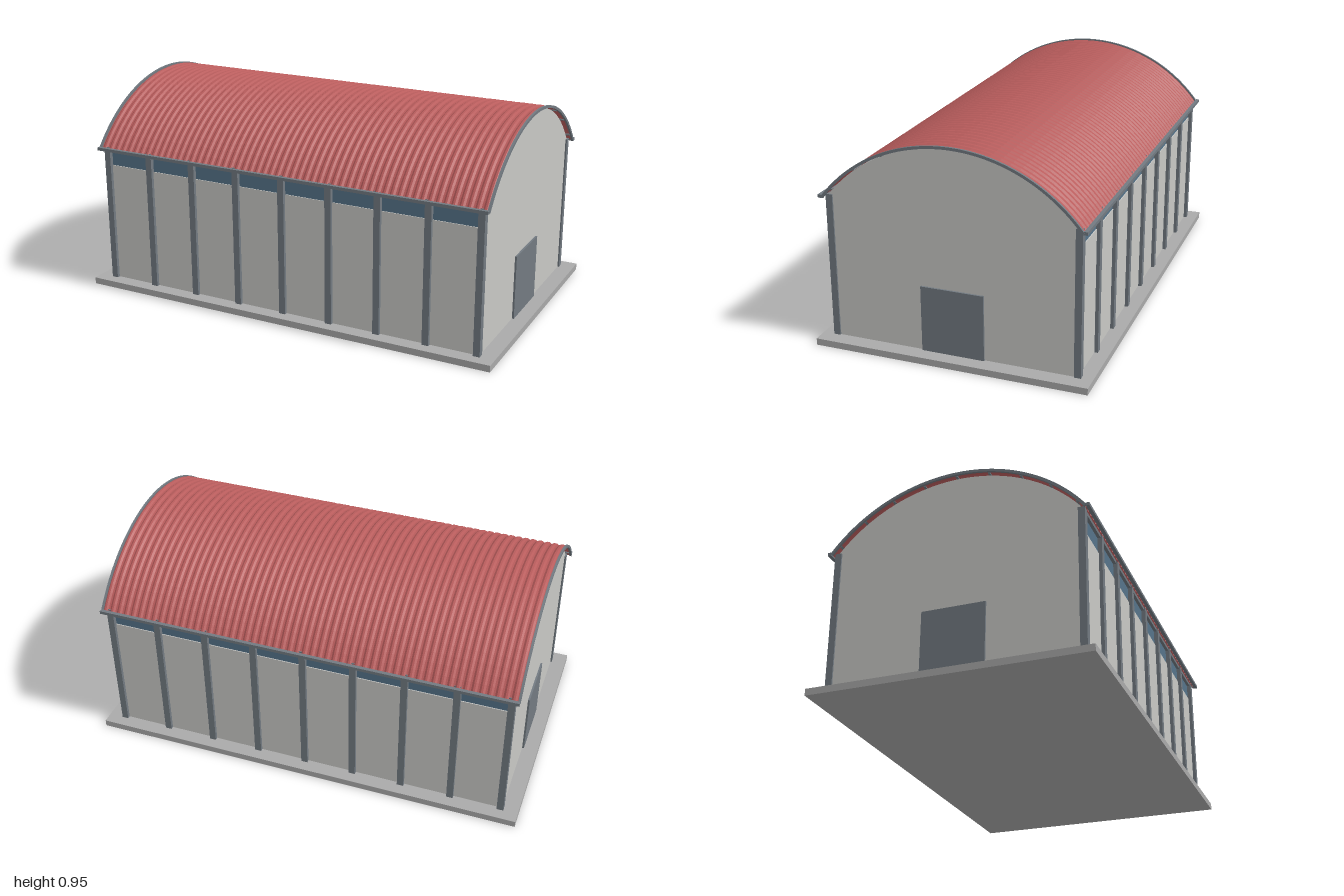
import * as THREE from 'three';

const mat = (name, color, side = THREE.FrontSide) => {
  const m = new THREE.MeshStandardMaterial({ color, side });
  m.name = name;
  return m;
};

export function createModel() {
  const group = new THREE.Group();
  const concrete = mat('concrete', 0xa9a9a9);
  const wallPaint = mat('wall paint', 0xc8c8c5);
  const steel = mat('steel grey', 0x727a81);
  const glass = mat('blue glass', 0x557389);
  const roofRed = mat('roof red', 0xb85c5c, THREE.DoubleSide);

  const add = (name, geometry, material, x = 0, y = 0, z = 0) => {
    const mesh = new THREE.Mesh(geometry, material);
    mesh.name = name;
    mesh.position.set(x, y, z);
    group.add(mesh);
    return mesh;
  };
  // Box given by its width, bottom and top heights, and depth
  const box = (name, material, w, y0, y1, d, x, z) =>
    add(name, new THREE.BoxGeometry(w, y1 - y0, d), material, x, (y0 + y1) / 2, z);

  // Roof arc: circle around (y = arcY, z = 0)
  const arcY = 0.23, roofR = 0.714, halfAngle = 0.913;

  box('baseSlab', concrete, 2, 0, 0.03, 1.22, 0, 0);

  // Long sides: wall, window strip, columns, eave beam and gutter
  const bays = 8, pitch = 0.23;
  for (const s of [-1, 1]) {
    box('sideWall', wallPaint, 1.84, 0.03, 0.59, 0.02, 0, s * 0.535);
    for (let i = 0; i < bays; i++)
      box('window', glass, pitch - 0.02, 0.59, 0.665, 0.012, (i - (bays - 1) / 2) * pitch, s * 0.535);
    for (let i = 0; i <= bays; i++)
      box('column', steel, 0.03, 0.03, 0.678, 0.03, (i - bays / 2) * pitch, s * 0.545);
    box('eaveBeam', steel, 1.87, 0.662, 0.678, 0.02, 0, s * 0.545);
    box('gutter', steel, 1.91, 0.665, 0.679, 0.016, 0, s * 0.577);
  }

  // Arched end walls with doors
  const wallR = 0.707, wallHalf = 0.55;
  const wallAngle = Math.asin(wallHalf / wallR);
  const endShape = new THREE.Shape();
  endShape.moveTo(-wallHalf, 0.03);
  endShape.lineTo(wallHalf, 0.03);
  endShape.absarc(0, arcY, wallR, Math.PI / 2 - wallAngle, Math.PI / 2 + wallAngle, false);
  endShape.closePath();
  const endGeo = new THREE.ExtrudeGeometry(endShape, { depth: 0.02, bevelEnabled: false, curveSegments: 32 });
  endGeo.translate(0, 0, -0.01).rotateY(Math.PI / 2);

  // Curved trim along the roof ends
  const trimShape = new THREE.Shape();
  trimShape.absarc(0, arcY, 0.723, Math.PI / 2 - halfAngle, Math.PI / 2 + halfAngle, false);
  trimShape.absarc(0, arcY, 0.711, Math.PI / 2 + halfAngle, Math.PI / 2 - halfAngle, true);
  trimShape.closePath();
  const trimGeo = new THREE.ExtrudeGeometry(trimShape, { depth: 0.01, bevelEnabled: false, curveSegments: 32 });
  trimGeo.translate(0, 0, -0.005).rotateY(Math.PI / 2);

  for (const s of [-1, 1]) {
    add('endWall', endGeo, wallPaint, s * 0.918);
    box('door', steel, 0.009, 0.03, 0.325, 0.28, s * 0.932, 0);
    add('roofTrim', trimGeo, steel, s * 0.951);
  }

  // Ribbed roof sheet: a plane bent over the arc, with raised ribs across it
  const ribs = 56, perRib = 4;
  const sheet = new THREE.PlaneGeometry(1.9, 1, ribs * perRib, 30);
  const p = sheet.attributes.position;
  const columns = ribs * perRib + 1;
  for (let i = 0; i < p.count; i++) {
    const raised = (i % columns) % perRib >= 2;
    const r = roofR + (raised ? 0.006 : 0);
    const a = -p.getY(i) * 2 * halfAngle;
    p.setXYZ(i, p.getX(i), arcY + Math.cos(a) * r, Math.sin(a) * r);
  }
  const roofGeo = sheet.toNonIndexed();
  roofGeo.computeVertexNormals();
  add('roofSheet', roofGeo, roofRed);

  // Purlins under the roof
  for (let i = -4; i <= 4; i++) {
    const a = i * 0.21;
    const purlin = add('purlin', new THREE.BoxGeometry(1.89, 0.005, 0.01), steel,
      0, arcY + Math.cos(a) * 0.71, Math.sin(a) * 0.71);
    purlin.rotation.x = a;
  }

  return group;
}
